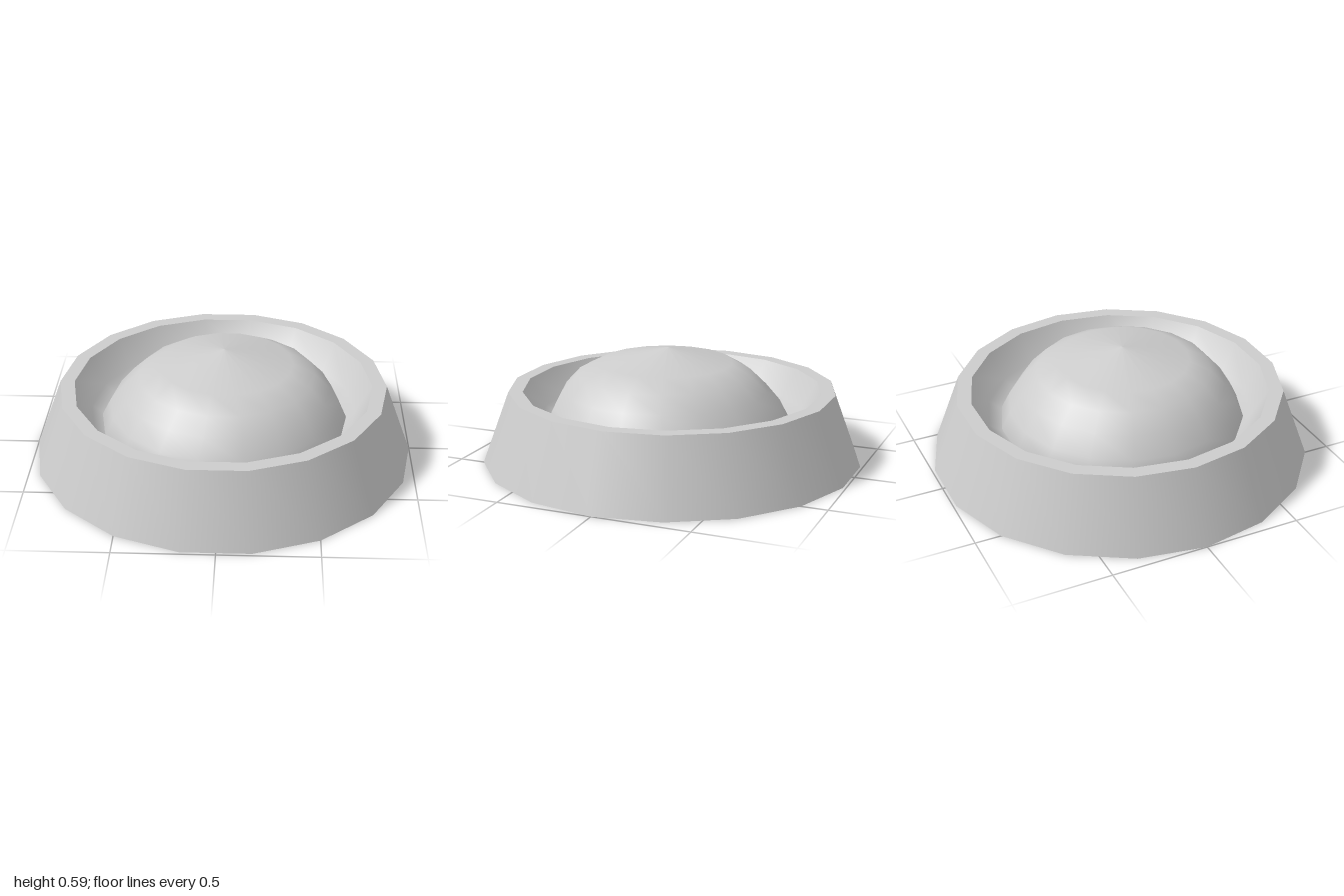
import * as THREE from 'three';

const SIDES = 18;

// One smooth turned surface; profile runs so that its face points outward.
function turned(name, profile, material) {
  const points = profile.map(([r, y]) => new THREE.Vector2(r, y));
  const mesh = new THREE.Mesh(new THREE.LatheGeometry(points, SIDES, Math.PI / 2), material);
  mesh.name = name;
  return mesh;
}

export function createModel() {
  const group = new THREE.Group();
  group.name = 'domedDish';
  const grey = new THREE.MeshStandardMaterial({ color: 0xcccccc });

  // Dish: separate surfaces keep the edges between them sharp
  const dish = new THREE.Group();
  dish.name = 'dish';
  dish.add(
    turned('underside', [[0, 0], [1, 0]], grey),
    turned('outerWall', [[1, 0], [0.86, 0.375]], grey),
    turned('rim', [[0.86, 0.375], [0.785, 0.375]], grey),
    turned('bowl', [[0.785, 0.375], [0.7, 0.23], [0.6, 0.16], [0, 0.13]], grey),
  );

  // Dome resting in the bowl, its rings slightly off centre
  const dome = turned('dome', [
    [0.63, 0.1], [0.65, 0.19], [0.605, 0.28], [0.54, 0.375],
    [0.46, 0.457], [0.35, 0.515], [0, 0.59],
  ], grey);
  const pos = dome.geometry.attributes.position;
  for (let i = 0; i < pos.count; i++) {
    const y = pos.getY(i);
    const lean = Math.max(0, 1 - Math.abs(y - 0.43) / 0.16);
    pos.setX(i, pos.getX(i) + 0.007 + 0.018 * lean);
    pos.setZ(i, pos.getZ(i) + 0.02 + 0.018 * lean);
  }

  group.add(dish, dome);
  return group;
}
